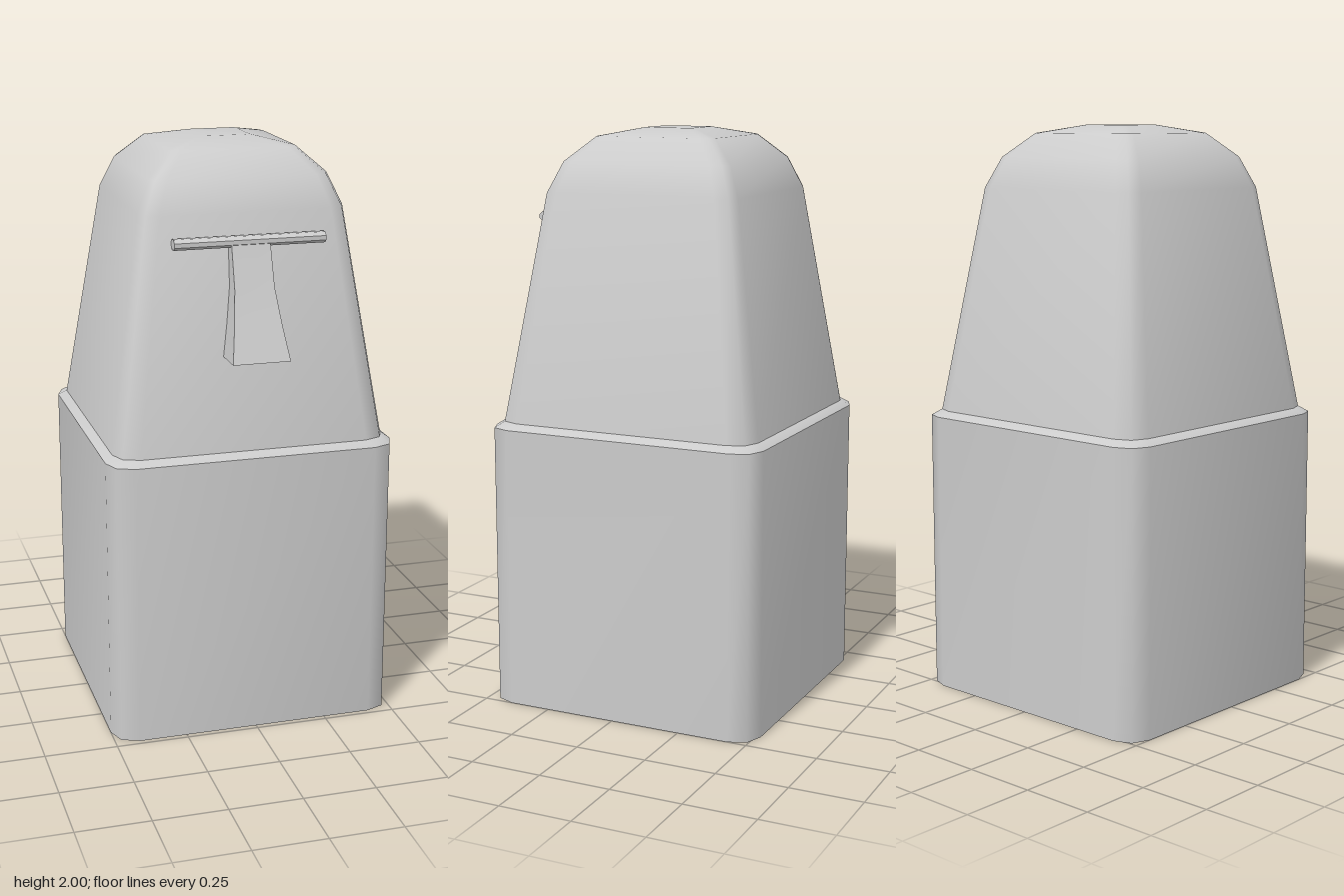
import * as THREE from 'three';
import { toCreasedNormals } from 'three/addons/utils/BufferGeometryUtils.js';

const MAT = new THREE.MeshStandardMaterial({ color: 0xcccccc });
const BODY_Z = -0.018;

// Joins equal-length rings of [x, y, z], listed bottom to top, and caps both ends.
// Each ring runs counter-clockwise seen from the front of its xz plane (+z towards +x).
function loft(rings, crease) {
  const n = rings[0].length;
  const points = rings.flat();
  const index = [];
  for (let r = 0; r < rings.length - 1; r++) {
    for (let i = 0; i < n; i++) {
      const a = r * n + i, b = r * n + (i + 1) % n;
      index.push(a, b, b + n, a, b + n, a + n);
    }
  }
  [rings[0], rings[rings.length - 1]].forEach((ring, end) => {
    const centre = [0, 1, 2].map((k) => ring.reduce((s, p) => s + p[k], 0) / n);
    const c = points.push(centre) - 1;
    const start = end ? (rings.length - 1) * n : 0;
    for (let i = 0; i < n; i++) {
      const a = start + i, b = start + (i + 1) % n;
      if (end) index.push(c, a, b);
      else index.push(c, b, a);
    }
  });
  const geometry = new THREE.BufferGeometry();
  geometry.setAttribute('position', new THREE.Float32BufferAttribute(points.flat(), 3));
  geometry.setIndex(index);
  return toCreasedNormals(geometry, crease);
}

// Square ring with corners rounded in three facets
function roundedSquare(half, y) {
  const corner = [[0.83, 1], [0.952, 0.952], [1, 0.83]];
  const ring = [];
  for (let q = 0; q < 4; q++) {
    const c = Math.round(Math.cos(q * Math.PI / 2)), s = Math.round(Math.sin(q * Math.PI / 2));
    for (const [x, z] of corner) {
      ring.push([half * (x * c + z * s), y, BODY_Z + half * (z * c - x * s)]);
    }
  }
  return ring;
}

function createPart(name, geometry) {
  const mesh = new THREE.Mesh(geometry, MAT);
  mesh.name = name;
  return mesh;
}

export function createModel() {
  const model = new THREE.Group();
  model.name = 'blockFigure';

  // Square body with a narrow bevelled shoulder
  const body = [[0.5, 0], [0.5, 0.985], [0.473, 1.005]];
  model.add(createPart('body', loft(body.map(([h, y]) => roundedSquare(h, y)), 0.9)));

  // Tapered head with a domed crown
  const head = [[0.473, 1.0], [0.352, 1.785], [0.307, 1.89], [0.22, 1.972], [0.09, 2.0]];
  model.add(createPart('head', loft(head.map(([h, y]) => roundedSquare(h, y)), 1.1)));

  // Brow bar
  const bar = new THREE.CylinderGeometry(0.0225, 0.0225, 0.516, 8);
  bar.rotateZ(Math.PI / 2);
  bar.rotateX(Math.PI / 8);
  bar.scale(1, 0.85, 1.08);
  bar.translate(0, 1.697, 0.368);
  model.add(createPart('brow', toCreasedNormals(bar, 0.9)));

  // Nose flaring outwards towards a flat underside: half width, y, front z
  const nose = [[0.098, 1.322, 0.52], [0.082, 1.43, 0.477], [0.068, 1.55, 0.432], [0.066, 1.69, 0.388]];
  const noseRings = nose.map(([w, y, z]) => [[-w, y, z], [w, y, z], [w, y, 0.3], [-w, y, 0.3]]);
  model.add(createPart('nose', loft(noseRings, 0.7)));

  return model;
}
